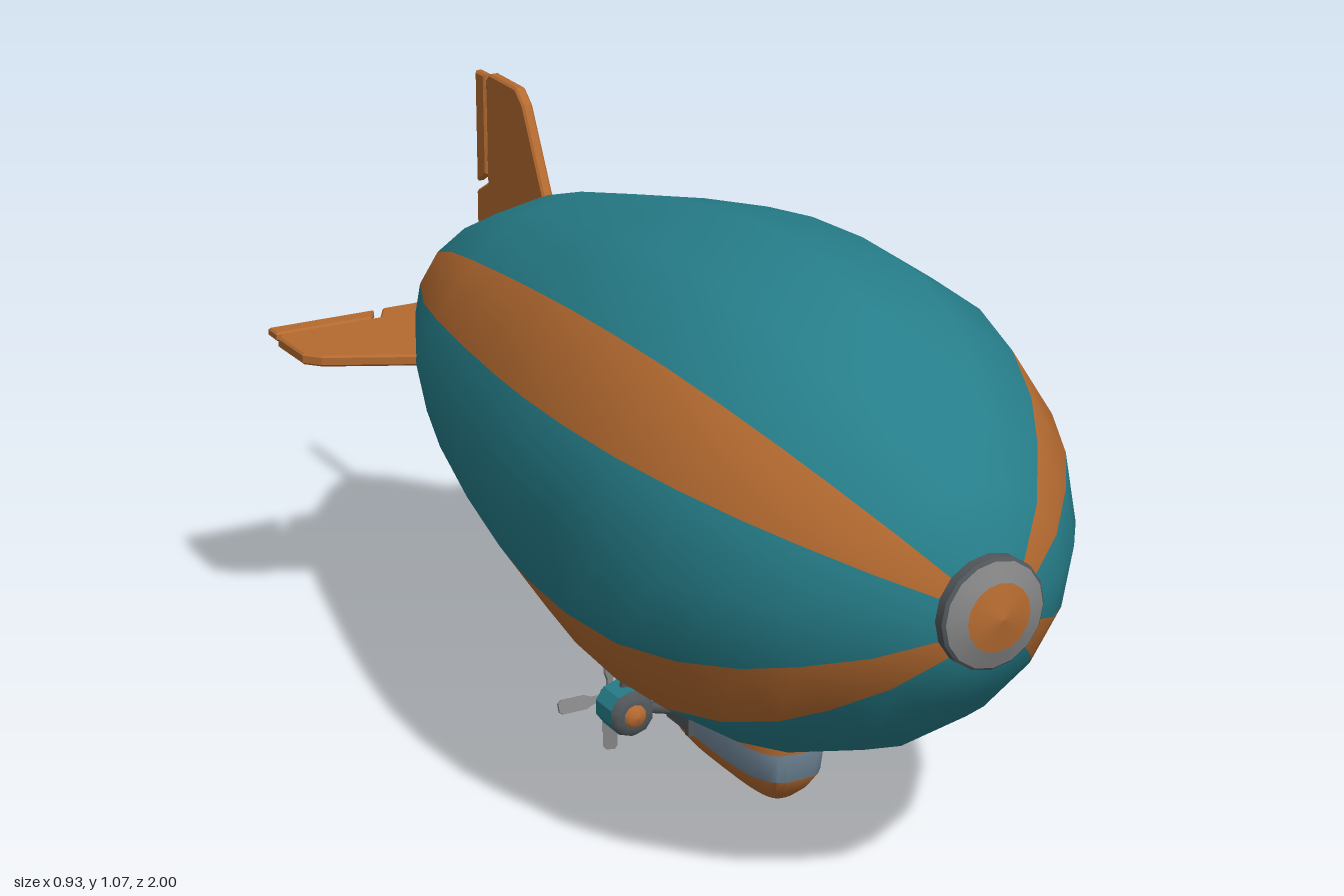
import * as THREE from 'three';
import { toCreasedNormals } from 'three/addons/utils/BufferGeometryUtils.js';

const mat = (name, color, side = THREE.FrontSide) => {
  const m = new THREE.MeshStandardMaterial({ color, side });
  m.name = name;
  return m;
};
const teal = mat('teal', 0x267e8a);
const copper = mat('copper', 0xb46a30);
const grey = mat('grey metal', 0x858585);
const dark = mat('dark metal', 0x50565a);
const glass = mat('window glass', 0x71889a);

const AXIS_Y = 0.605; // height of the hull's centre line

function add(parent, name, geometry, material, x = 0, y = 0, z = 0) {
  const mesh = new THREE.Mesh(geometry, material);
  mesh.name = name;
  mesh.position.set(x, y, z);
  parent.add(mesh);
  return mesh;
}

// Lathe around z from [z, radius] pairs running back to front
function latheZ(profile, sides, start = 0, length = Math.PI * 2) {
  const pts = profile.map(([z, r]) => new THREE.Vector2(r, z));
  return new THREE.LatheGeometry(pts, sides, start, length).rotateX(Math.PI / 2);
}

// Straight rod between two points
function rod(parent, name, from, to, r, material) {
  const a = new THREE.Vector3(...from), b = new THREE.Vector3(...to);
  const dir = b.clone().sub(a);
  const mesh = add(parent, name, new THREE.CylinderGeometry(r, r, dir.length(), 8), material);
  mesh.position.copy(a).add(b).multiplyScalar(0.5);
  mesh.quaternion.setFromUnitVectors(new THREE.Vector3(0, 1, 0), dir.normalize());
}

// Flat plate from [z, radius] corners, bevelled, lying in the x-z plane
function plate(corners, thickness) {
  const shape = new THREE.Shape(corners.map(([z, r]) => new THREE.Vector2(r, z)));
  const bevel = 0.004;
  return new THREE.ExtrudeGeometry(shape, {
    depth: thickness - 2 * bevel, bevelThickness: bevel, bevelSize: bevel,
    bevelOffset: -bevel, bevelSegments: 1,
  }).translate(0, 0, bevel - thickness / 2).rotateX(Math.PI / 2);
}

function buildHull(root) {
  const hull = new THREE.Group();
  hull.name = 'hull';
  hull.position.y = AXIS_Y;
  root.add(hull);
  const profile = [[-1, 0], [-0.975, 0.03], [-0.89, 0.1], [-0.77, 0.178], [-0.555, 0.277],
    [-0.41, 0.322], [-0.2, 0.372], [0, 0.41], [0.14, 0.429], [0.3, 0.436], [0.46, 0.425],
    [0.6, 0.387], [0.715, 0.332], [0.8, 0.27], [0.89, 0.185], [0.955, 0.09], [0.96, 0]];
  // Sixteen gores, as [first gore, count, colour]
  const gores = [[-2, 4, teal], [2, 1, copper], [3, 2, teal], [5, 1, copper],
    [6, 4, teal], [10, 1, copper], [11, 2, teal], [13, 1, copper]];
  const step = Math.PI / 8;
  for (const [first, count, material] of gores) {
    add(hull, material === teal ? 'hullPanel' : 'hullStripe',
      latheZ(profile, count, first * step, count * step), material);
  }
  // Nose ring and cap
  add(hull, 'noseRim', toCreasedNormals(latheZ([[0.94, 0.084], [0.948, 0.095], [0.97, 0.095],
    [0.976, 0.086]], 16), 0.5), dark);
  add(hull, 'noseRing', latheZ([[0.975, 0.09], [0.988, 0.057]], 16), grey);
  add(hull, 'noseCap', latheZ([[0.988, 0.058], [1, 0]], 16), copper);
}

function buildTail(root) {
  const fin = plate([[-0.56, 0.2], [-0.545, 0.278], [-0.625, 0.435], [-0.655, 0.461], [-0.765, 0.463],
    [-0.782, 0.45], [-0.782, 0.245], [-0.83, 0.218], [-0.83, 0.08]], 0.022);
  const flap = plate([[-0.793, 0.455], [-0.832, 0.455], [-0.832, 0.235], [-0.793, 0.258]], 0.018);
  for (let i = 0; i < 4; i++) {
    const tail = new THREE.Group();
    tail.name = 'tailFin';
    tail.position.y = AXIS_Y;
    tail.rotation.z = i * Math.PI / 2;
    root.add(tail);
    add(tail, 'fin', fin, copper);
    add(tail, 'controlFlap', flap, copper);
    for (const r of [0.29, 0.42]) {
      add(tail, 'hinge', new THREE.BoxGeometry(0.03, 0.008, 0.02), dark, r, 0, -0.788);
    }
  }
}

function buildGondola(root) {
  // Rounded plan outlines stacked upward: [y, half width, back z, front z]
  const levels = [[0.012, 0.022, 0.04, 0.32], [0.02, 0.035, 0.02, 0.345], [0.045, 0.056, 0.006, 0.375],
    [0.075, 0.075, 0.002, 0.395], [0.13, 0.08, 0.002, 0.403], [0.175, 0.068, 0.008, 0.405],
    [0.24, 0.06, 0.012, 0.405]];
  const n = 32, pos = [], body = [], windows = [];
  const round = (v) => Math.sign(v) * Math.abs(v) ** 0.6;
  for (const [y, w, back, front] of levels) {
    for (let i = 0; i < n; i++) {
      const t = (i / n) * Math.PI * 2;
      pos.push(w * round(Math.cos(t)), y, (front + back) / 2 + (front - back) / 2 * round(Math.sin(t)));
    }
  }
  for (let j = 0; j < levels.length - 1; j++) {
    for (let i = 0; i < n; i++) {
      const a = j * n + i, b = j * n + (i + 1) % n;
      // Window band wraps the front and stops behind the middle
      const isWindow = j === 3 && (i < 17 || i === n - 1);
      (isWindow ? windows : body).push(a, a + n, b, b, a + n, b + n);
    }
  }
  for (let i = 1; i < n - 1; i++) body.push(0, i, i + 1); // floor
  const geo = new THREE.BufferGeometry();
  geo.setAttribute('position', new THREE.Float32BufferAttribute(pos, 3));
  geo.setIndex([...body, ...windows]);
  geo.addGroup(0, body.length, 0);
  geo.addGroup(body.length, windows.length, 1);
  add(root, 'gondola', toCreasedNormals(geo, 0.6), [copper, glass]);
}

function buildEngine(root, side) {
  const engine = new THREE.Group();
  engine.name = side > 0 ? 'leftEngine' : 'rightEngine';
  root.add(engine);
  const x = side * 0.157, y = 0.105;
  // Nacelle
  add(engine, 'nacelle', toCreasedNormals(latheZ([[0, 0], [0, 0.034], [0.012, 0.044], [0.07, 0.044]], 10), 0.6),
    teal, x, y, 0);
  add(engine, 'cowlRing', latheZ([[0.07, 0.044], [0.084, 0.036], [0.084, 0.02]], 10), dark, x, y, 0);
  add(engine, 'nacelleNose', latheZ([[0.083, 0.023], [0.092, 0.016], [0.095, 0]], 10), copper, x, y, 0);
  // Mounting
  add(engine, 'mountPad', new THREE.BoxGeometry(0.016, 0.036, 0.08), dark, side * 0.081, y, 0.115);
  add(engine, 'mountFlange', new THREE.BoxGeometry(0.018, 0.052, 0.012), dark, side * 0.08, y, 0.15);
  rod(engine, 'sideStrut', [side * 0.075, y, 0.09], [side * 0.13, y, 0.05], 0.011, dark);
  rod(engine, 'upperStrut', [side * 0.155, 0.14, 0.04], [side * 0.136, 0.22, 0.04], 0.011, dark);
  // Four-bladed propeller
  const prop = new THREE.Group();
  prop.name = 'propeller';
  prop.position.set(x, y, -0.014);
  engine.add(prop);
  add(prop, 'hub', latheZ([[-0.024, 0], [-0.02, 0.01], [-0.008, 0.015], [0.016, 0.015]], 8), dark);
  const outline = new THREE.Shape([[0.006, 0], [0.007, 0.035], [0.013, 0.05], [0.013, 0.097], [0.008, 0.104],
    [-0.008, 0.104], [-0.013, 0.097], [-0.013, 0.05], [-0.007, 0.035], [-0.006, 0]]
    .map(([u, v]) => new THREE.Vector2(u, v)));
  const blade = new THREE.ExtrudeGeometry(outline, { depth: 0.005, bevelEnabled: false })
    .translate(0, 0, -0.0025).rotateY(0.35);
  for (let i = 0; i < 4; i++) add(prop, 'blade', blade, grey).rotation.z = i * Math.PI / 2;
}

export function createModel() {
  const root = new THREE.Group();
  root.name = 'airship';
  buildHull(root);
  buildTail(root);
  buildGondola(root);
  for (const side of [1, -1]) buildEngine(root, side);
  return root;
}
